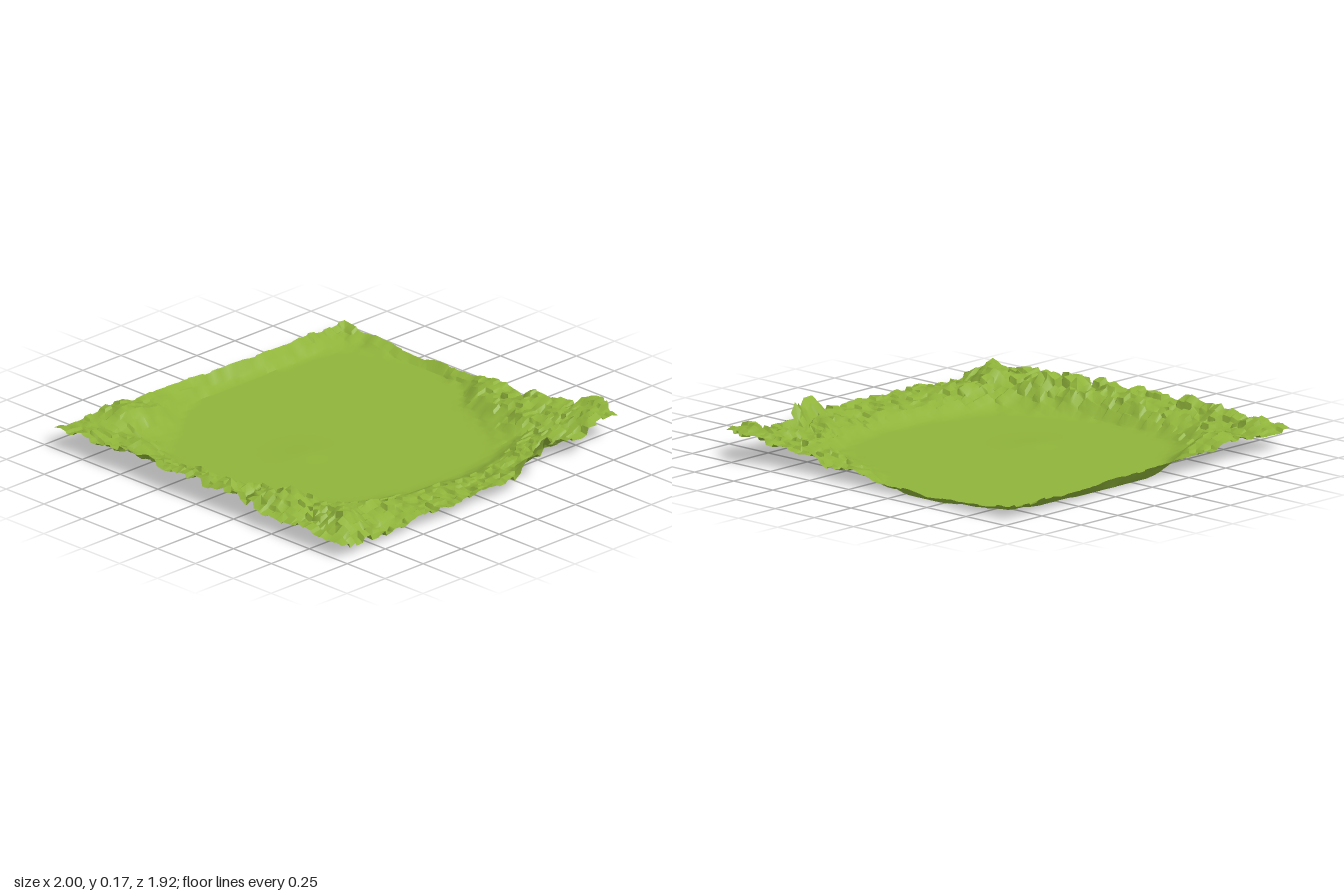
import * as THREE from 'three';
import { toCreasedNormals } from 'three/addons/utils/BufferGeometryUtils.js';

const SEG = 77;
const CENTRE = { x: 0.1, z: -0.15 };
const BOUNDS = { x0: -0.98, x1: 0.925, z0: -0.955, z1: 0.95 };

// Sixteen compass directions from +x towards +z: basin radius, rim heights, roughness
const BASIN = [.76, .60, .63, .74, .74, .78, .85, .83, .82, .82, .73, .75, .74, .77, .92, .86];
const MID = [.03, .05, .08, .06, .05, .06, .11, .10, .08, .07, .08, .05, .03, .03, .03, .02];
const EDGE = [.04, .07, .12, .09, .06, .06, .05, .11, .12, .11, .09, .08, .07, .06, .06, .03];
const ROUGH = [.012, .025, .035, .03, .025, .025, .04, .04, .035, .035, .018, .01, .006, .006, .014, .01];

// Local peaks on the rim: x, z, height, radius
const PEAKS = [
  [0.27, 0.95, .09, .08], [0.42, 0.95, .09, .06], [-0.82, 0.45, .05, .09],
  [-0.82, 0.82, .05, .09], [0.85, 0.88, .05, .09], [-0.6, -0.85, .04, .1],
];

const smooth = (t) => THREE.MathUtils.smoothstep(t, 0, 1);
const gauss = (x, z, px, pz, r) => Math.exp(-((x - px) ** 2 + (z - pz) ** 2) / (r * r));

function around(table, angle) {
  const f = ((angle / (2 * Math.PI)) * 16 + 16) % 16;
  const i = Math.floor(f);
  return THREE.MathUtils.lerp(table[i % 16], table[(i + 1) % 16], smooth(f - i));
}

// Repeatable noise between -1 and 1
function hash(i, j) {
  const s = Math.sin(i * 127.1 + j * 311.7 + 4.3) * 43758.5453;
  return (s - Math.floor(s)) * 2 - 1;
}

function valueNoise(x, z) {
  const i = Math.floor(x), j = Math.floor(z), u = smooth(x - i), v = smooth(z - j);
  const row = (n) => THREE.MathUtils.lerp(hash(i, n), hash(i + 1, n), u);
  return THREE.MathUtils.lerp(row(j), row(j + 1), v);
}

// Grid lines in close pairs, so blocks meet at narrow steep steps
const gridLine = (i) => (i + (i % 2 ? 0.27 : -0.27) + 0.27) / (SEG + 0.54);

function heightAt(x, z, i, j) {
  const dx = x - CENTRE.x, dz = z - CENTRE.z;
  const angle = Math.atan2(dz, dx), r = Math.hypot(dx, dz);
  const c = Math.cos(angle), s = Math.sin(angle);
  const outer = Math.min(
    ((c > 0 ? BOUNDS.x1 : BOUNDS.x0) - CENTRE.x) / c,
    ((s > 0 ? BOUNDS.z1 : BOUNDS.z0) - CENTRE.z) / s,
  );
  const inner = Math.min(around(BASIN, angle), outer - 0.03);
  const t = (r - inner) / (outer - inner);
  // Faint ripple on the basin floor
  const floor = 0.006 * gauss(x, z, -0.22, -0.05, 0.1);
  if (t <= 0) return floor;
  const mid = around(MID, angle), edge = around(EDGE, angle);
  let h = t < 0.5 ? mid * smooth(t * 2) : THREE.MathUtils.lerp(mid, edge, t * 2 - 1);
  const ramp = Math.min(1, t * 2);
  for (const [px, pz, ph, pr] of PEAKS) h += ph * ramp * gauss(x, z, px, pz, pr);
  // Blocky steps over broader swells, with a little grit
  const block = hash(Math.floor(i / 2), Math.floor(j / 2));
  const noise = 0.45 * block + 0.2 * hash(i + 200, j) + 0.7 * valueNoise(x * 9, z * 9);
  h += around(ROUGH, angle) * ramp * noise;
  return THREE.MathUtils.clamp(floor + h, 0, 0.19);
}

function terrainGeometry() {
  const geometry = new THREE.PlaneGeometry(2, 2, SEG, SEG).rotateX(-Math.PI / 2);
  const pos = geometry.attributes.position;
  for (let j = 0; j <= SEG; j++) {
    for (let i = 0; i <= SEG; i++) {
      let x = THREE.MathUtils.lerp(BOUNDS.x0, BOUNDS.x1, gridLine(i));
      let z = THREE.MathUtils.lerp(BOUNDS.z0, BOUNDS.z1, gridLine(j));
      const y = heightAt(x, z, i, j);
      // Front edge recedes on the left-hand corner, with a jutting tip beside it
      const notch = smooth((x - 0.27) / 0.25) * smooth((z - 0.45) / 0.5);
      z -= 0.11 * notch;
      x += 0.07 * smooth((x - 0.8) / 0.125) * gauss(0, z, 0, 0.67, 0.09);
      // Ragged outer border
      if (i === 0) x -= 0.01 + 0.01 * valueNoise(j / 4, 3);
      if (i === SEG) x += 0.01 * valueNoise(j / 4, 7);
      if (j === 0) z += 0.006 * valueNoise(i / 4, 11);
      if (j === SEG) z += 0.005 * valueNoise(i / 4, 13) + 0.02 * notch * hash(i, 9);
      pos.setXYZ(j * (SEG + 1) + i, THREE.MathUtils.clamp(x, -1, 1), y, z);
    }
  }
  return toCreasedNormals(geometry, 0.6);
}

export function createModel() {
  const group = new THREE.Group();
  group.name = 'terrain';
  const material = new THREE.MeshStandardMaterial({ color: 0x8fb33a, side: THREE.DoubleSide });
  // Flat basin ringed by a rough rim, one open sheet
  const sheet = new THREE.Mesh(terrainGeometry(), material);
  sheet.name = 'basinAndRim';
  group.add(sheet);
  return group;
}
